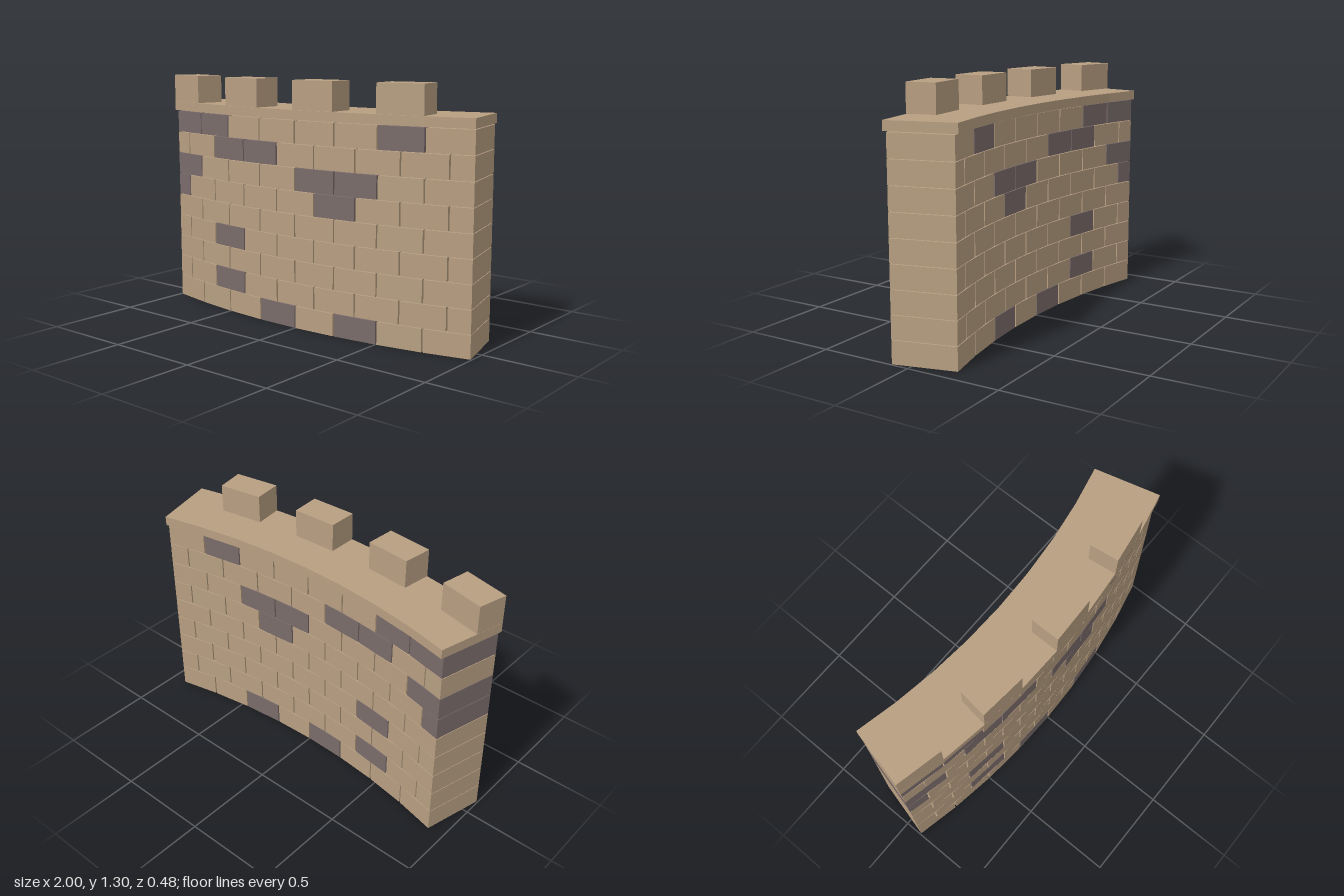
import * as THREE from 'three';

const CENTRE_Z = -3.825;      // centre of curvature, behind the wall
const HALF_ANGLE = 0.249;     // half of the arc the wall spans
const COLUMNS = 8;
const STEP = (2 * HALF_ANGLE) / COLUMNS;
const COURSES = 9;
const PITCH = 0.1224;
const BRICK_HEIGHT = 0.119;
const JOINT = 0.001;          // half joint width, as an angle

// Straight-sided wedge block between two radii and two angles
function wedge(inner, outer, a0, a1, y0, y1) {
  const at = (r, a) => new THREE.Vector2(r * Math.sin(a), -(CENTRE_Z + r * Math.cos(a)));
  const shape = new THREE.Shape([at(outer, a0), at(outer, a1), at(inner, a1), at(inner, a0)]);
  const geometry = new THREE.ExtrudeGeometry(shape, { depth: y1 - y0, bevelEnabled: false });
  geometry.rotateX(-Math.PI / 2);
  geometry.translate(0, y0, 0);
  return geometry;
}

export function createModel() {
  const wall = new THREE.Group();
  wall.name = 'curvedWall';

  const sandstone = new THREE.MeshStandardMaterial({ color: 0xb89f82 });
  sandstone.name = 'sandstone';
  const darkStone = new THREE.MeshStandardMaterial({ color: 0x7a6c6b });
  darkStone.name = 'darkStone';

  const add = (parent, name, geometry, material) => {
    const mesh = new THREE.Mesh(geometry, material);
    mesh.name = name;
    parent.add(mesh);
  };

  // Brick courses in running bond; dark brick numbers per course, bottom to top
  const dark = [[3, 5], [2], [], [2], [], [0, 5], [0, 4, 5], [2, 3], [0, 1, 6]];
  for (let row = 0; row < COURSES; row++) {
    const course = new THREE.Group();
    course.name = `course${row + 1}`;
    const offset = row % 2 ? 0.5 : 0;
    const count = COLUMNS + (offset ? 1 : 0);
    for (let i = 0; i < count; i++) {
      const a0 = -HALF_ANGLE + Math.max(0, i - offset) * STEP + JOINT;
      const a1 = -HALF_ANGLE + Math.min(COLUMNS, i + 1 - offset) * STEP - JOINT;
      const y = row * PITCH;
      add(course, 'brick', wedge(3.715, 4.046, a0, a1, y, y + BRICK_HEIGHT),
        dark[row].includes(i) ? darkStone : sandstone);
    }
    wall.add(course);
  }

  // Coping slabs, with a merlon on every second one
  for (let i = 0; i < COLUMNS; i++) {
    const a0 = -HALF_ANGLE + i * STEP;
    const a1 = a0 + STEP;
    add(wall, 'copingSlab', wedge(3.698, 4.062, a0, a1, 1.103, 1.153), sandstone);
    if (i % 2 === 0) {
      add(wall, 'merlon', wedge(3.905, 4.062, a0, a1, 1.154, 1.305), sandstone);
    }
  }
  return wall;
}
